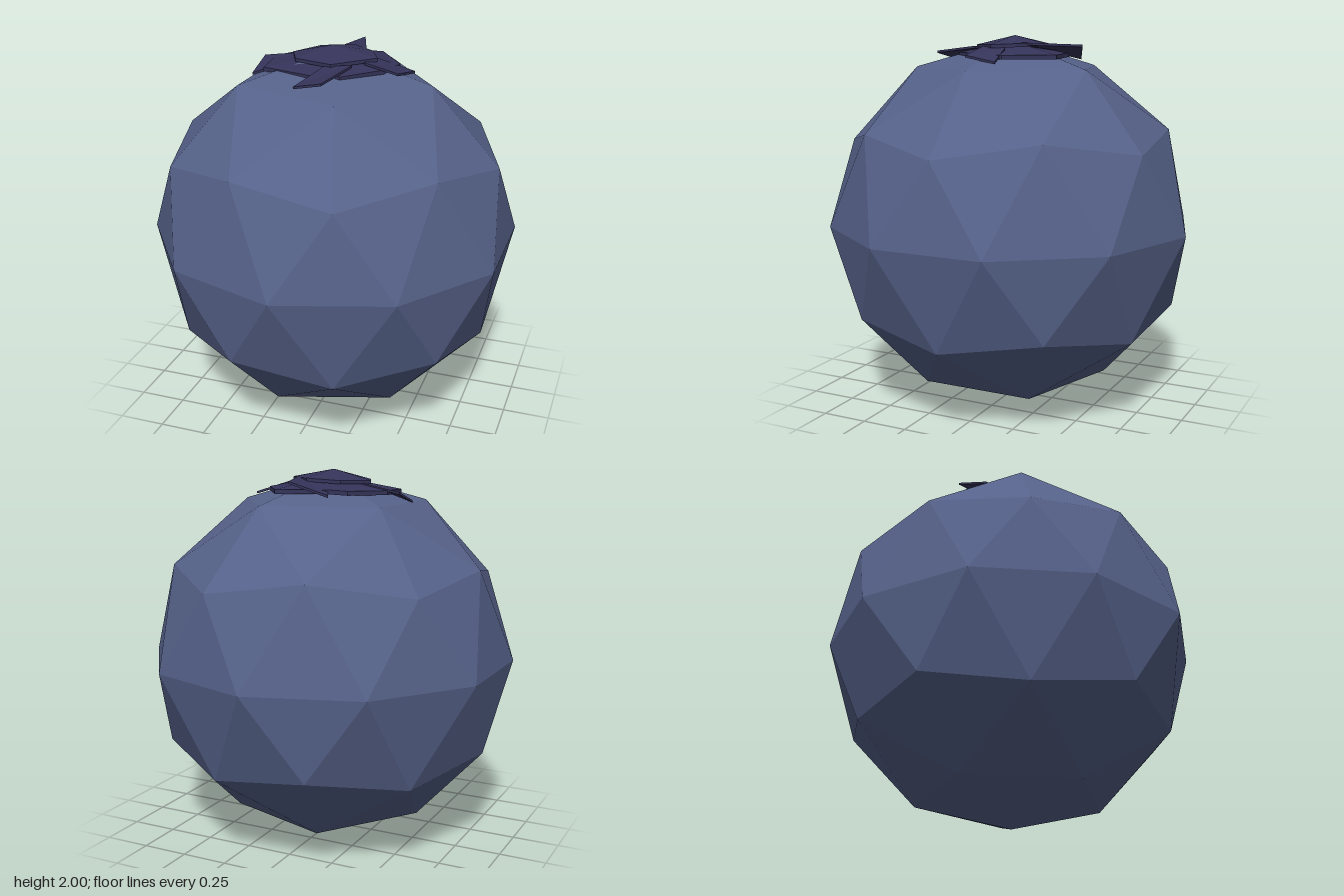
import * as THREE from 'three';

const skin = new THREE.MeshStandardMaterial({ color: 0x56628a, flatShading: true });
const leaf = new THREE.MeshStandardMaterial({ color: 0x35345a, flatShading: true, side: THREE.DoubleSide });

// Thin closed slab: a fan over a rim (ordered clockwise from above), with edge walls and an underside
function slab(name, rim, centre, thickness) {
  const pos = [];
  const low = ([x, y, z]) => [x, y - thickness, z];
  rim.forEach((a, i) => {
    const b = rim[(i + 1) % rim.length];
    pos.push(...centre, ...b, ...a);
    pos.push(...low(centre), ...low(a), ...low(b));
    pos.push(...a, ...b, ...low(b), ...a, ...low(b), ...low(a));
  });
  const g = new THREE.BufferGeometry();
  g.setAttribute('position', new THREE.Float32BufferAttribute(pos, 3));
  g.computeVertexNormals();
  const mesh = new THREE.Mesh(g, leaf);
  mesh.name = name;
  return mesh;
}

export function createModel() {
  const model = new THREE.Group();
  model.name = 'berry';

  // Faceted fruit, turned so that corners sit at both poles
  const R = 0.99;
  const ball = new THREE.IcosahedronGeometry(R, 1);
  ball.rotateZ(-Math.atan(2 / (1 + Math.sqrt(5))));
  ball.translate(0, R, 0);
  const fruit = new THREE.Mesh(ball, skin);
  fruit.name = 'fruit';
  model.add(fruit);

  const crown = new THREE.Group();
  crown.name = 'crown';
  model.add(crown);

  // Lower, wider layer of the crown
  const lowerRim = [
    [-0.36, 1.9, -0.08], [-0.23, 1.905, -0.28], [-0.12, 1.91, -0.29], [0.16, 1.905, -0.33],
    [0.32, 1.905, -0.1], [0.28, 1.91, 0.06], [0.11, 1.91, 0.26], [-0.02, 1.905, 0.27], [-0.34, 1.895, 0.15],
  ];
  crown.add(slab('lowerCrown', lowerRim, [0, 1.965, 0], 0.022));

  // Upper, smaller layer
  const upperRim = [
    [-0.24, 1.945, -0.02], [-0.14, 1.95, -0.18], [0.04, 1.96, -0.21],
    [0.17, 1.96, -0.11], [0.23, 1.955, 0.01], [0.04, 1.95, 0.19], [-0.18, 1.945, 0.11],
  ];
  crown.add(slab('upperCrown', upperRim, [-0.02, 2, -0.01], 0.018));

  // Four twisted leaf tips: two inner corners, then two outer ones
  const tips = {
    leftTip: [[0.36, 1.905, 0.09], [0.18, 1.945, 0.08], [0.2, 1.94, -0.06], [0.4, 1.875, -0.1]],
    rightTip: [[-0.43, 1.895, -0.09], [-0.2, 1.935, -0.06], [-0.2, 1.925, 0.06], [-0.43, 1.842, 0.09]],
    frontTip: [[-0.09, 1.875, 0.38], [0.0, 1.935, 0.18], [0.14, 1.945, 0.15], [0.07, 1.915, 0.42]],
    backTip: [[0.03, 1.955, -0.42], [0.13, 1.965, -0.12], [-0.06, 1.935, -0.15], [-0.15, 1.885, -0.34]],
  };
  for (const [name, c] of Object.entries(tips)) {
    const mid = [0, 1, 2].map((k) => c.reduce((s, p) => s + p[k], 0) / 4);
    crown.add(slab(name, c, mid, 0.012));
  }
  return model;
}
